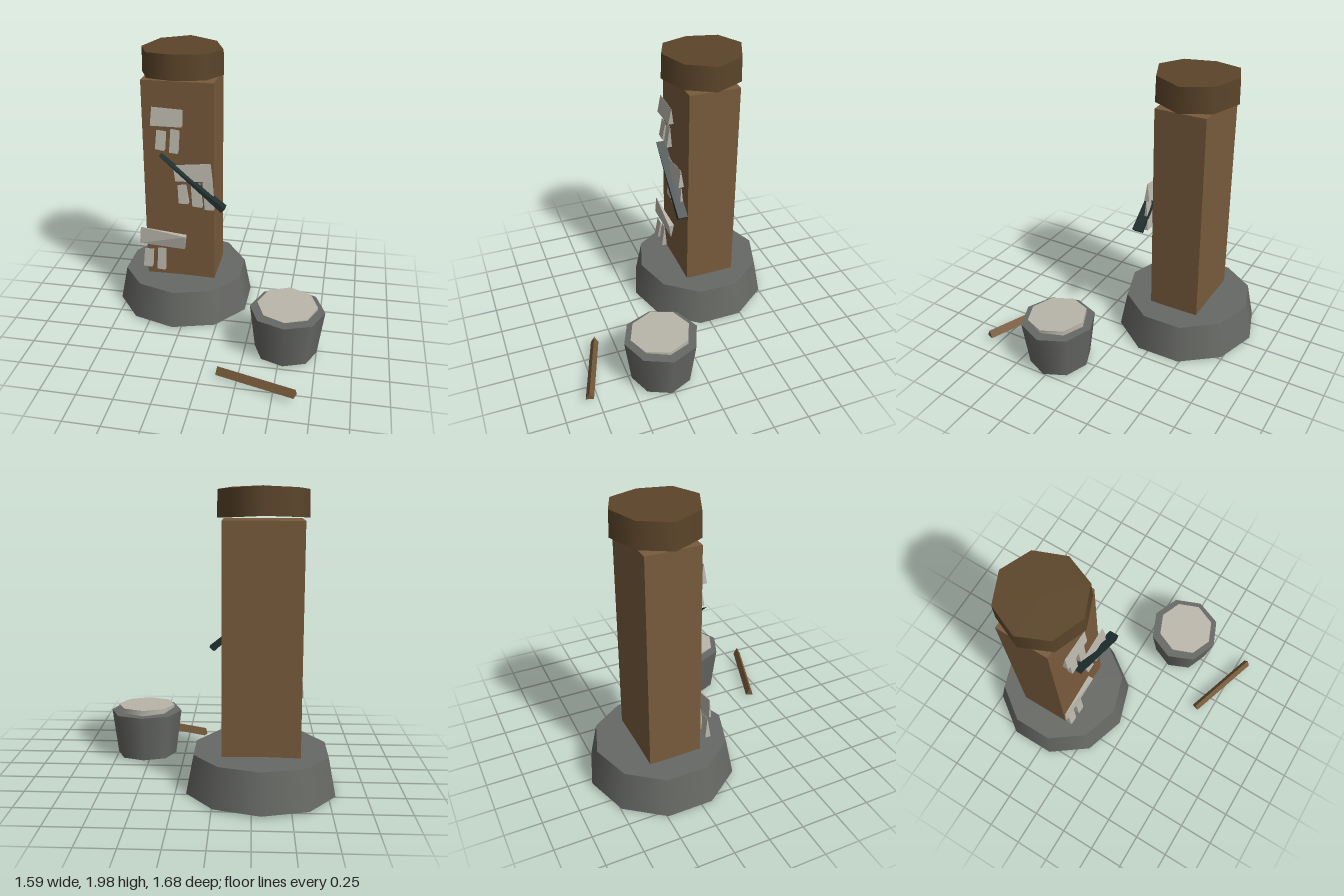
import * as THREE from 'three';

const mat = (name, color) => Object.assign(new THREE.MeshStandardMaterial({ color }), { name });

export function createModel() {
  const group = new THREE.Group();
  const wood = mat('wood', 0x785b3c);
  const darkWood = mat('dark wood', 0x5c452a);
  const stone = mat('stone', 0x676965);
  const plaster = mat('pale plaster', 0xbab6ab);
  const iron = mat('dark iron', 0x20302f);

  const add = (name, geometry, material, x = 0, y = 0, z = 0) => {
    const mesh = new THREE.Mesh(geometry, material);
    mesh.name = name;
    mesh.position.set(x, y, z);
    group.add(mesh);
    return mesh;
  };

  // Flat-shaded solid between two matching loops; loop a runs anticlockwise seen from outside
  const loft = (a, b) => {
    const n = a.length, p = [];
    const tri = (...corners) => corners.forEach((c) => p.push(...c));
    for (let i = 0; i < n; i++) {
      const j = (i + 1) % n;
      tri(a[i], b[i], b[j]);
      tri(a[i], b[j], a[j]);
      if (i > 0 && i < n - 1) {
        tri(a[0], a[i], a[j]);
        tri(b[0], b[j], b[i]);
      }
    }
    const g = new THREE.BufferGeometry();
    g.setAttribute('position', new THREE.Float32BufferAttribute(p, 3));
    g.computeVertexNormals();
    return g;
  };

  // Cylinder with slightly uneven rims, as if hand-hewn
  const hewn = (top, bottom, height, sides, amount, phase) => {
    const g = new THREE.CylinderGeometry(top, bottom, height, sides);
    const p = g.attributes.position;
    for (let i = 0; i < p.count; i++) {
      const x = p.getX(i), z = p.getZ(i);
      if (Math.hypot(x, z) < 0.01) continue;
      const a = Math.atan2(x, z);
      p.setY(i, p.getY(i) + amount * Math.sin(2 * a + phase));
    }
    return g;
  };

  // Pillar: stone foot, square post, rough round cap
  add('pillarFoot', hewn(0.46, 0.512, 0.262, 10, 0.009, 1.8), stone, -0.31, 0.153, -0.332);
  add('post', new THREE.BoxGeometry(0.51, 1.52, 0.365), wood, -0.31, 1.03, -0.333);
  add('pillarCap', hewn(0.288, 0.292, 0.175, 8, 0.011, 1.4), darkWood, -0.31, 1.9, -0.335);

  // Plates hung before the post: corners from top left clockwise, with half depth at each
  const plate = (name, corners, depth = [0.001, 0.001, 0.02, 0.02]) => {
    const side = (s) => corners.map(([x, y], i) => [x, y, -0.1 + s * depth[i]]).reverse();
    add(name, loft(side(1), side(-1)), plaster);
  };
  plate('upperPlate', [[-0.48, 1.62], [-0.26, 1.61], [-0.27, 1.49], [-0.49, 1.49]]);
  plate('middlePlate', [[-0.34, 1.2], [-0.07, 1.23], [-0.06, 1.1], [-0.32, 1.085]]);
  plate('lowerPlate', [[-0.595, 0.69], [-0.255, 0.645], [-0.265, 0.535], [-0.605, 0.56]],
    [0.001, 0.02, 0.001, 0.008]);

  // Short strips hanging below the plates
  [
    [[-0.45, 1.455], [-0.38, 1.45], [-0.395, 1.31], [-0.46, 1.32]],
    [[-0.35, 1.47], [-0.285, 1.46], [-0.3, 1.295], [-0.36, 1.3]],
    [[-0.31, 1.05], [-0.245, 1.06], [-0.23, 0.915], [-0.3, 0.915]],
    [[-0.215, 1.08], [-0.145, 1.075], [-0.13, 0.895], [-0.2, 0.9]],
    [[-0.13, 1.085], [-0.055, 1.1], [-0.045, 0.88], [-0.11, 0.88]],
    [[-0.57, 0.515], [-0.5, 0.515], [-0.515, 0.37], [-0.58, 0.375]],
    [[-0.47, 0.53], [-0.405, 0.53], [-0.415, 0.355], [-0.475, 0.36]],
  ].forEach((corners, i) => plate('strip' + (i + 1), corners));

  // Dark blade slanting across the post, tapering to its upper end
  const blade = (z) => [[-0.423, 1.283, z], [0.012, 0.887, z], [0.042, 0.915, z]];
  add('blade', loft(blade(-0.043), blade(-0.113)), iron);

  // Tapered pot with a wedge-shaped lid, thin at the front
  add('pot', hewn(0.26, 0.218, 0.33, 8, 0.006, 1.5), stone, 0.535, 0.188, 0.268);
  const lid = new THREE.CylinderGeometry(0.208, 0.208, 0.04, 8);
  const lp = lid.attributes.position;
  for (let i = 0; i < lp.count; i++) {
    lp.setY(i, lp.getY(i) * (0.52 - (0.48 * lp.getZ(i)) / 0.208));
  }
  lid.computeVertexNormals();
  add('potLid', lid, plaster, 0.535, 0.379, 0.275);

  // Three-sided stick lying on the ground
  const stickEnd = (x, y, z) => [
    [x - 0.009, y, z + 0.026], [x + 0.009, y, z - 0.026], [x, y + 0.053, z],
  ];
  add('stick', loft(stickEnd(0.65, 0.06, 0.813), stickEnd(0.113, 0.031, 0.634)), wood);

  return group;
}
